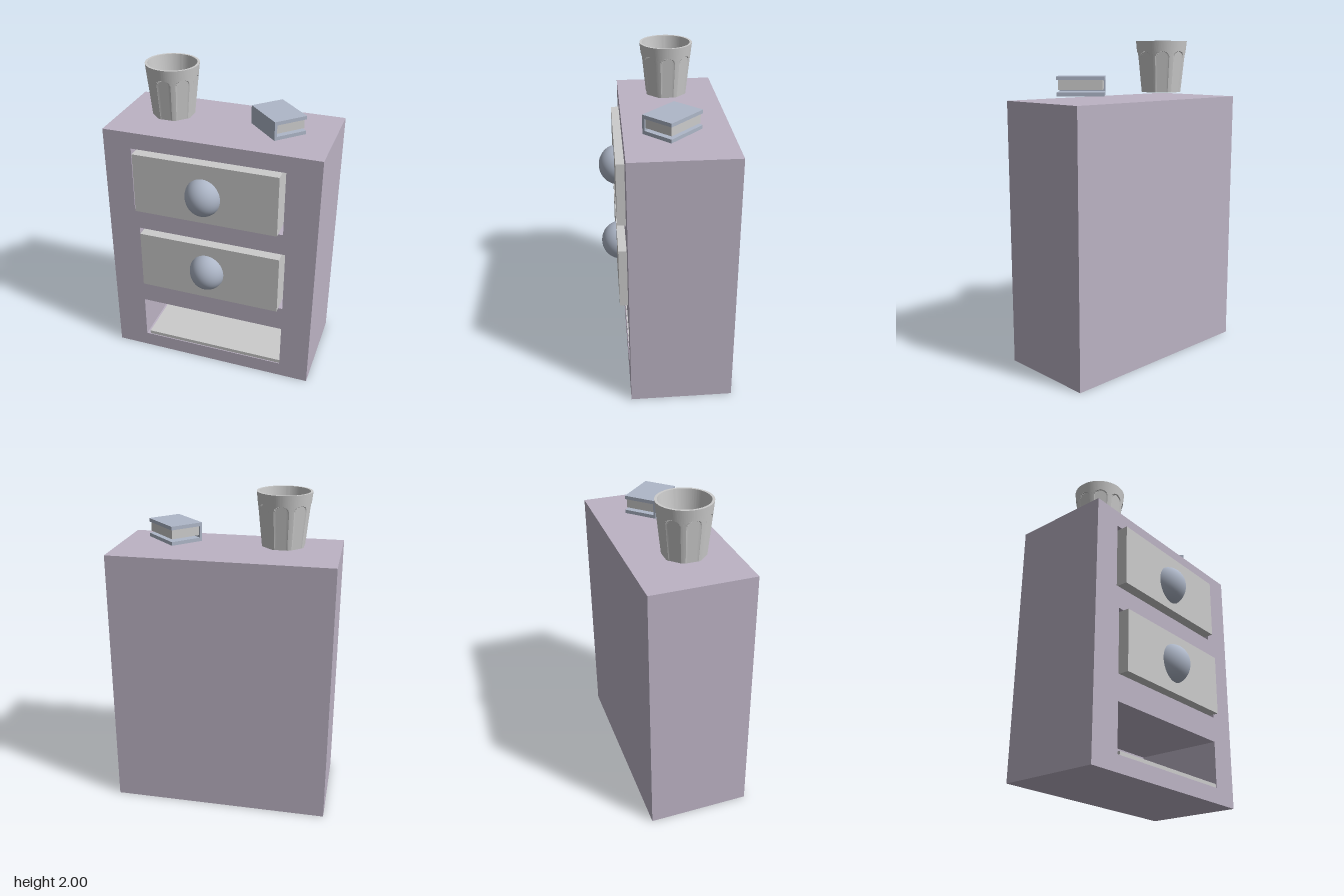
import * as THREE from 'three';
import { toCreasedNormals } from 'three/addons/utils/BufferGeometryUtils.js';

const paint = (color) => new THREE.MeshStandardMaterial({ color });
const grey = paint(0xcccccc);
const mauve = paint(0xbcb3c4);
const blue = paint(0xaeb7c8);

function add(parent, name, geometry, material) {
  const mesh = new THREE.Mesh(geometry, material);
  mesh.name = name;
  parent.add(mesh);
  return mesh;
}

// Box given by its lower and upper limits on each axis
function addBox(parent, name, [x0, x1], [y0, y1], [z0, z1], material) {
  const mesh = add(parent, name, new THREE.BoxGeometry(x1 - x0, y1 - y0, z1 - z0), material);
  mesh.position.set((x0 + x1) / 2, (y0 + y1) / 2, (z0 + z1) / 2);
  return mesh;
}

function rectangle(PathType, x0, x1, y0, y1) {
  return new PathType([[x0, y0], [x1, y0], [x1, y1], [x0, y1]].map(([x, y]) => new THREE.Vector2(x, y)));
}

// Cabinet body with three openings and a closed back
function createCabinet() {
  const cabinet = new THREE.Group();
  cabinet.name = 'cabinet';
  const front = rectangle(THREE.Shape, -0.68, 0.68, 0, 1.645);
  const openings = [[-0.5, 0.47, 1.12, 1.54], [-0.475, 0.49, 0.565, 0.98], [-0.475, 0.49, 0.1, 0.4]];
  front.holes = openings.map((o) => rectangle(THREE.Path, ...o));
  const body = add(cabinet, 'cabinetBody', new THREE.ExtrudeGeometry(front, { depth: 0.585, bevelEnabled: false }), mauve);
  body.position.z = -0.34;
  addBox(cabinet, 'cabinetBack', [-0.68, 0.68], [0, 1.645], [-0.39, -0.34], mauve);
  addBox(cabinet, 'shelfBoard', [-0.45, 0.489], [0.101, 0.125], [-0.335, 0.24], grey);
  return cabinet;
}

// Drawer with a rounded knob sunk into its front
function createDrawer(name, x, y) {
  const drawer = new THREE.Group();
  drawer.name = name;
  addBox(drawer, 'drawerBox', [-0.458, 0.458], [-0.197, 0.197], [-0.32, 0.295], grey);
  const knob = add(drawer, 'knob', new THREE.SphereGeometry(1, 40, 28), blue);
  knob.scale.set(0.115, 0.128, 0.12);
  knob.position.set(-0.01, 0, 0.27);
  drawer.position.set(x, y, 0);
  return drawer;
}

// Tumbler: a lathed wall with eight arched flat facets cut into the outside
function createTumbler() {
  const height = 0.325, spring = 0.215, arch = 0.045, halfAngle = 0.285;
  const outer = (y) => 0.131 + 0.034 * (y / height);
  const points = [[0, 0], [0.122, 0]];
  const levels = [0, 0.07, 0.14, spring];
  for (let i = 1; i <= 10; i++) levels.push(spring + arch * Math.sin((i / 10) * Math.PI / 2));
  levels.push(0.2625, 0.29, height);
  for (const y of levels) points.push([outer(y), y]);
  const rimStart = points.length;
  points.push([0.15, height], [0.119, 0.03], [0, 0.03]);

  const geometry = new THREE.LatheGeometry(points.map(([x, y]) => new THREE.Vector2(x, y)), 192);
  const position = geometry.attributes.position;
  const step = Math.PI / 4;
  for (let i = 0; i < position.count; i++) {
    const row = i % points.length;
    if (row < 2 || row >= rimStart) continue;
    const x = position.getX(i), y = position.getY(i), z = position.getZ(i);
    const angle = Math.atan2(x, z);
    const offset = angle - Math.round(angle / step) * step;
    const t = Math.abs(offset) / halfAngle;
    const top = t < 1 ? spring + arch * Math.sqrt(1 - t * t) : -1;
    if (y <= top + 1e-4) {
      const k = 0.945 / Math.cos(offset);
      position.setXYZ(i, x * k, y, z * k);
    }
  }
  const tumbler = new THREE.Group();
  tumbler.name = 'tumbler';
  add(tumbler, 'glassWall', toCreasedNormals(geometry, 0.5), grey);
  tumbler.position.set(-0.335, 1.675, -0.06);
  return tumbler;
}

// Small closed book, turned by an eighth of a circle
function createBook() {
  const book = new THREE.Group();
  book.name = 'book';
  addBox(book, 'bottomCover', [-0.106, 0.106], [0, 0.022], [-0.14, 0.14], blue);
  addBox(book, 'topCover', [-0.106, 0.106], [0.093, 0.115], [-0.14, 0.14], blue);
  addBox(book, 'spine', [-0.106, -0.09], [0.022, 0.093], [-0.14, 0.14], blue);
  addBox(book, 'pages', [-0.09, 0.098], [0.036, 0.093], [-0.13, 0.13], grey);
  book.position.set(0.34, 1.675, -0.038);
  book.rotation.y = Math.PI / 4;
  return book;
}

export function createModel() {
  const model = new THREE.Group();
  model.name = 'bedsideCabinet';
  model.add(
    createCabinet(),
    createDrawer('topDrawer', -0.013, 1.332),
    createDrawer('middleDrawer', 0.008, 0.772),
    createTumbler(),
    createBook(),
  );
  // Knobs sit slightly below the middle of the top drawer front
  model.getObjectByName('topDrawer').getObjectByName('knob').position.y = -0.02;
  return model;
}
